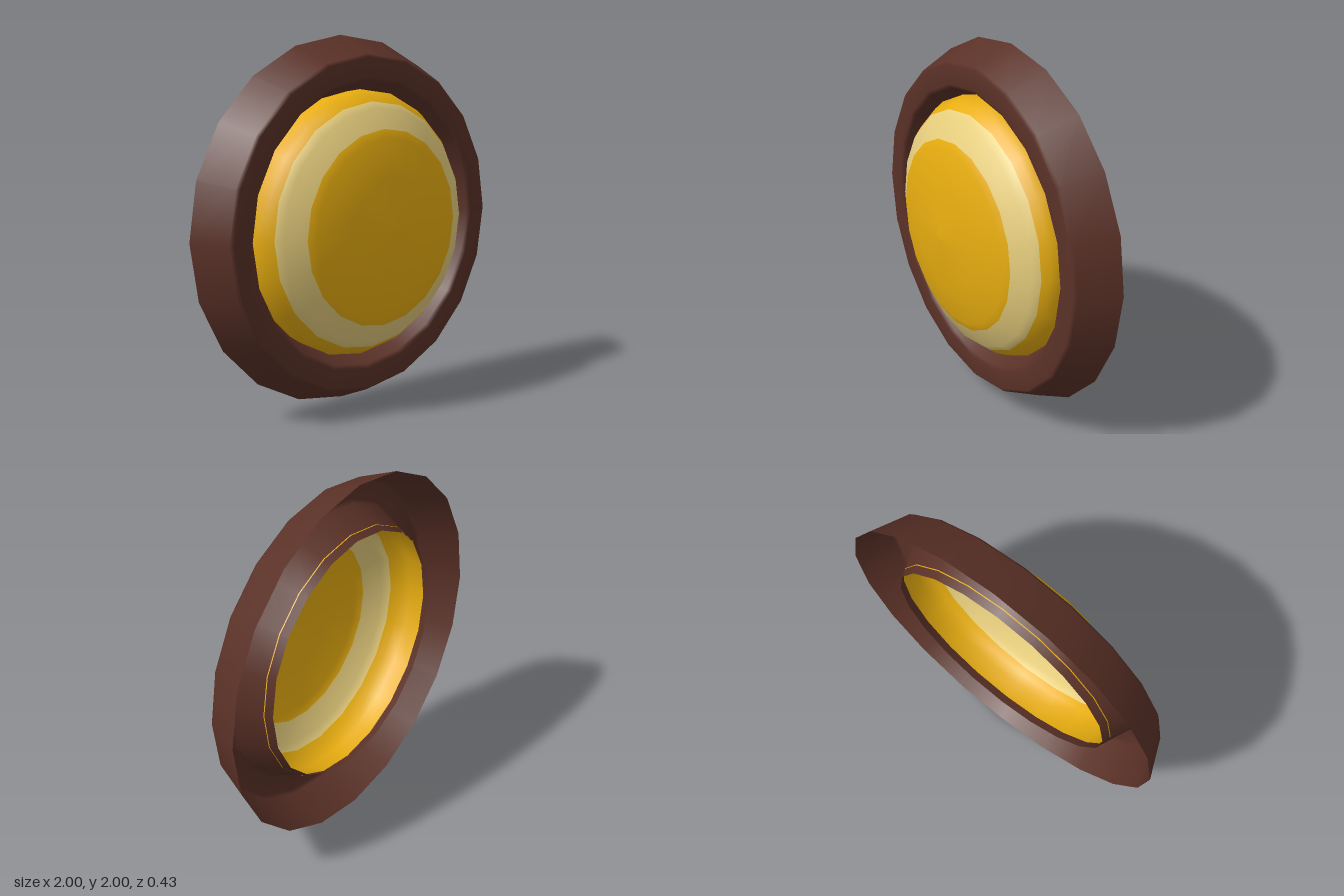
import * as THREE from 'three';

const SIDES = 20;

const material = (name, color) => {
  const m = new THREE.MeshStandardMaterial({ color, side: THREE.DoubleSide });
  m.name = name;
  return m;
};

// Revolve a [radius, z] profile around the z axis
function revolve(profile) {
  const points = profile.map(([r, z]) => new THREE.Vector2(r, z));
  return new THREE.LatheGeometry(points, SIDES).rotateX(Math.PI / 2);
}

export function createModel() {
  const brown = material('dark brown', 0x5a3127);
  const gold = material('gold', 0xeaaf10);
  const cream = material('cream', 0xe8cf7e);

  const model = new THREE.Group();
  model.name = 'roundWallLamp';

  // Hollow frame, open at the back: outer slope, bevelled front, inner slope
  const frame = new THREE.Mesh(revolve([
    [1, -0.215], [0.91, -0.005], [0.893, 0.01],
    [0.79, 0.01], [0.768, -0.005], [0.685, -0.205],
  ]), brown);
  frame.name = 'frame';

  // Shallow dome from rim to centre, with a cream band between two rings
  const profile = [
    [0.703, -0.165], [0.72, -0.06], [0.69, 0], [0.662, 0.034], [0.63, 0.072],
    [0.524, 0.127], [0.48, 0.15], [0.28, 0.198], [0, 0.215],
  ];
  const bandStart = 3, bandEnd = 5;
  const domeGeometry = revolve(profile);
  const strips = profile.length - 1;
  for (let side = 0; side < SIDES; side++) {
    const first = side * strips;
    domeGeometry.addGroup(first * 6, bandStart * 6, 0);
    domeGeometry.addGroup((first + bandStart) * 6, (bandEnd - bandStart) * 6, 1);
    domeGeometry.addGroup((first + bandEnd) * 6, (strips - bandEnd) * 6, 0);
  }
  const dome = new THREE.Mesh(domeGeometry, [gold, cream]);
  dome.name = 'dome';

  frame.position.y = dome.position.y = 1;
  model.add(frame, dome);
  return model;
}
